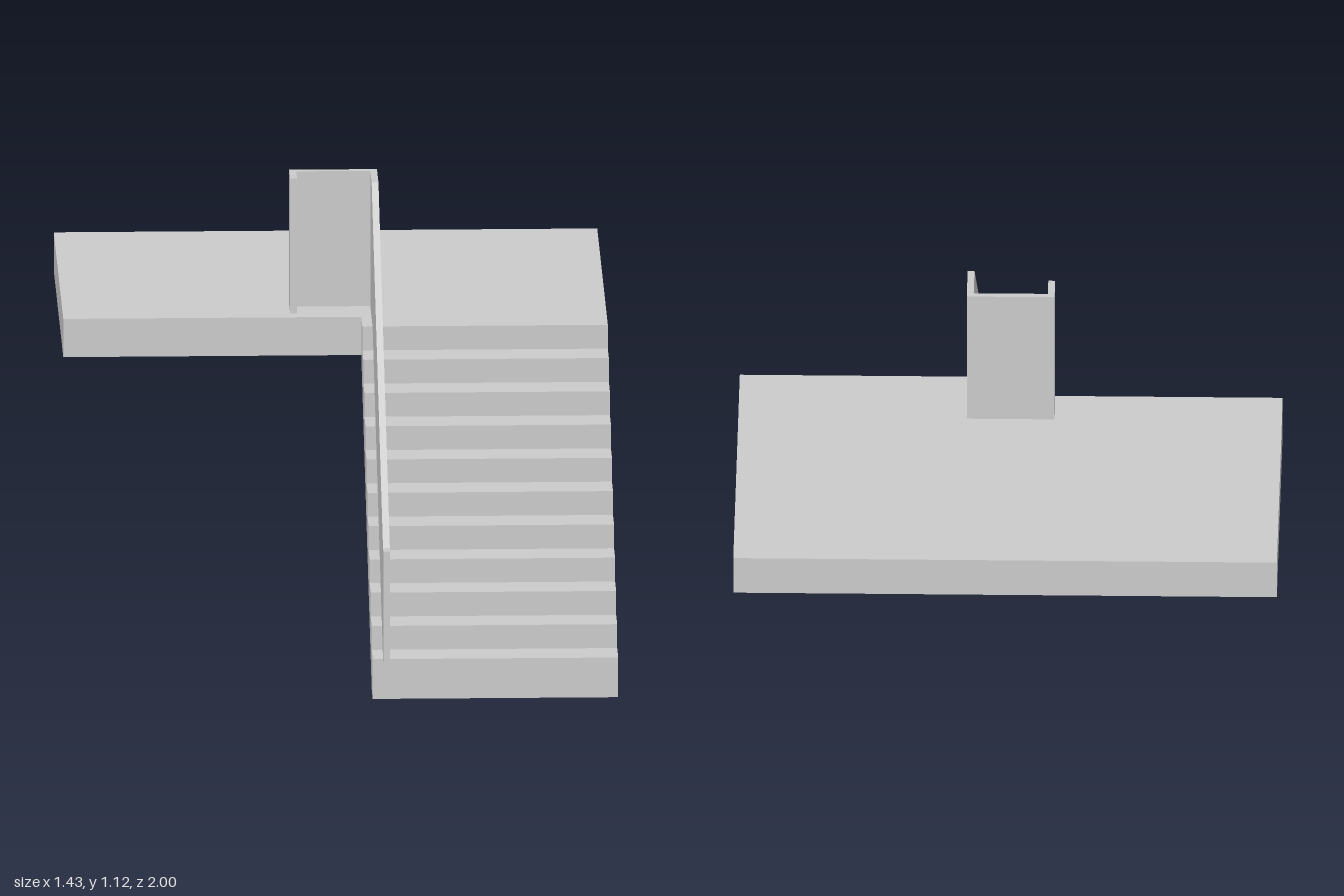
import * as THREE from 'three';

const material = new THREE.MeshStandardMaterial({ color: 0xcccccc, flatShading: true });

function addMesh(group, geometry, name) {
  const mesh = new THREE.Mesh(geometry, material);
  mesh.name = name;
  group.add(mesh);
}

// Extrudes a side profile of [z, y] points from x0 to x1
function sideExtrude(points, x0, x1) {
  const shape = new THREE.Shape(points.map(([z, y]) => new THREE.Vector2(-z, y)));
  return new THREE.ExtrudeGeometry(shape, { depth: x1 - x0, bevelEnabled: false })
    .rotateY(Math.PI / 2)
    .translate(x0, 0, 0);
}

// Box given by its extents
function boxBetween(x0, x1, y0, y1, z0, z1) {
  return new THREE.BoxGeometry(x1 - x0, y1 - y0, z1 - z0)
    .translate((x0 + x1) / 2, (y0 + y1) / 2, (z0 + z1) / 2);
}

export function createModel() {
  const group = new THREE.Group();
  group.name = 'staircase';

  const floorTop = 0.756, floorBottom = 0.652, landingZ = -0.11;
  const stepCount = 11, going = 0.0972, rise = 0.0648, firstTop = 0.108, firstZ = 0.962;

  // Upper landing slab
  addMesh(group, boxBetween(-0.715, 0.715, floorBottom, floorTop, -1, landingZ), 'landing');

  // Stair flight: stepped top, sloping underside
  const steps = [[0.865, 0], [firstZ, 0]];
  for (let i = 0; i < stepCount; i++) {
    const z = firstZ - i * going;
    const y = firstTop + i * rise;
    if (i > 0) steps.push([z, y - rise]);
    steps.push([z, y]);
  }
  steps.push([landingZ, floorTop], [landingZ, floorBottom]);
  addMesh(group, sideExtrude(steps, 0.069, 0.715), 'stairFlight');

  // Solid balustrade that follows the step noses and runs onto the landing
  const railTop = 1.124, railBack = -0.237;
  const rail = [
    [1, 0.105], [1, 0.411], [0.965, 0.411], [-0.098, railTop],
    [railBack, railTop], [railBack, floorTop], [-0.01, floorTop], [0.965, 0.105],
  ];
  addMesh(group, sideExtrude(rail, 0.096, 0.114), 'balustrade');

  // Balustrade turns across the landing and returns towards the front
  addMesh(group, boxBetween(-0.117, 0.096, floorTop, railTop, railBack, railBack + 0.018), 'balustradeBack');
  addMesh(group, boxBetween(-0.117, -0.099, floorTop, railTop, railBack + 0.018, -0.148), 'balustradeReturn');

  return group;
}
